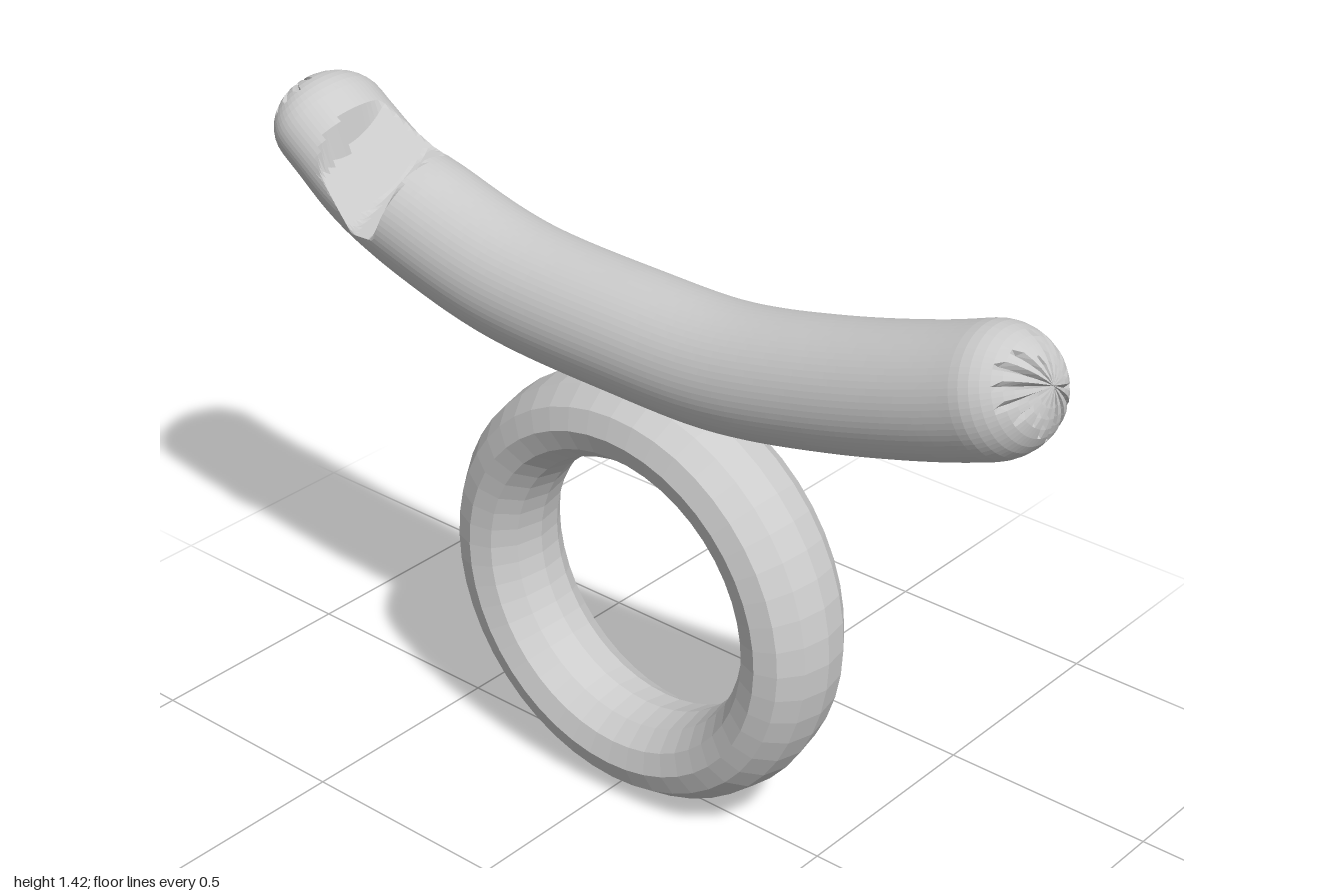
import * as THREE from 'three';

const material = new THREE.MeshStandardMaterial({ color: 0xcccccc, flatShading: true });

// Centre line of the curved body, from the upturned end to the plain end
const spine = new THREE.CatmullRomCurve3([
  [-0.98, 1.375, 0], [-0.92, 1.335, 0], [-0.85, 1.285, 0], [-0.75, 1.215, -0.003], [-0.6, 1.157, -0.008],
  [-0.35, 1.102, 0], [0, 1.087, 0.004], [0.25, 1.092, 0.005], [0.5, 1.137, 0], [0.75, 1.205, -0.005],
  [0.9, 1.258, -0.01], [0.99, 1.295, -0.01],
].map(p => new THREE.Vector3(...p)));

const SIDES = 64;

// Highest allowed surface in the bite: a floor leaning to the front, between two walls
function biteHeight(x, z) {
  if (x < -0.79 || x > -0.58) return Infinity;
  return 1.215 - 0.5 * z + 1.3 * Math.max(0, -0.7 - x) + 3 * Math.max(0, x + 0.64);
}

function bodyGeometry() {
  const length = spine.getLength();
  const capA = 0.11, capB = 0.135;
  // Distances along the spine: rounded cap, body, rounded cap
  const stations = [];
  for (let i = 0; i <= 10; i++) stations.push(capA * (1 - Math.cos(i / 10 * Math.PI / 2)));
  for (let i = 1; i < 140; i++) stations.push(capA + (length - capA - capB) * i / 140);
  for (let i = 0; i <= 10; i++) stations.push(length - capB * (1 - Math.sin(i / 10 * Math.PI / 2)));
  stations[stations.length - 1] = length;

  const positions = [], indices = [];
  stations.forEach((s, i) => {
    const u = Math.min(1, Math.max(0, s / length));
    const p = spine.getPointAt(u), t = spine.getTangentAt(u);
    const up = new THREE.Vector3(-t.y, t.x, 0).normalize();
    const fromEnd = Math.min(s / capA, (length - s) / capB, 1);
    const round = Math.sqrt(Math.max(0, 1 - (1 - fromEnd) ** 2));
    // The upturned end is slimmer in height than in width
    const ry = (0.108 + 0.026 * THREE.MathUtils.smoothstep(p.x, -0.88, -0.58)) * round;
    const rz = 0.142 * round;
    for (let j = 0; j < SIDES; j++) {
      const a = j / SIDES * Math.PI * 2;
      // Puckered furrows radiating from both tips, of uneven length
      const reach = 0.45 + 0.35 * Math.abs(Math.sin(j * 1.7));
      const furrow = j % 4 === 0 && round > 0 && round < reach ? 0.016 : 0;
      const inward = (s < length / 2 ? 1 : -1) * furrow;
      const v = p.clone().addScaledVector(up, Math.cos(a) * ry).addScaledVector(t, inward);
      v.z += Math.sin(a) * rz;
      v.y = Math.min(v.y, biteHeight(v.x, v.z));
      positions.push(v.x, v.y, v.z);
      if (i < stations.length - 1) {
        const k = (j + 1) % SIDES, r0 = i * SIDES, r1 = r0 + SIDES;
        indices.push(r0 + j, r0 + k, r1 + j, r0 + k, r1 + k, r1 + j);
      }
    }
  });
  const g = new THREE.BufferGeometry();
  g.setAttribute('position', new THREE.Float32BufferAttribute(positions, 3));
  g.setIndex(indices);
  g.computeVertexNormals();
  return g;
}

export function createModel() {
  const group = new THREE.Group();

  // Upright ring with a twelve-sided section, wider than it is thick
  const ringGeometry = new THREE.TorusGeometry(0.4, 0.095, 12, 48);
  ringGeometry.scale(1, 1, 0.13 / 0.095);
  const ring = new THREE.Mesh(ringGeometry, material);
  ring.name = 'ring';
  ring.position.set(0.02, 0.495, 0.003);
  group.add(ring);

  // Curved sausage resting on the ring, with a bite near one end
  const sausageMaterial = material.clone();
  sausageMaterial.side = THREE.DoubleSide;
  const sausage = new THREE.Mesh(bodyGeometry(), sausageMaterial);
  sausage.name = 'sausage';
  group.add(sausage);

  return group;
}
